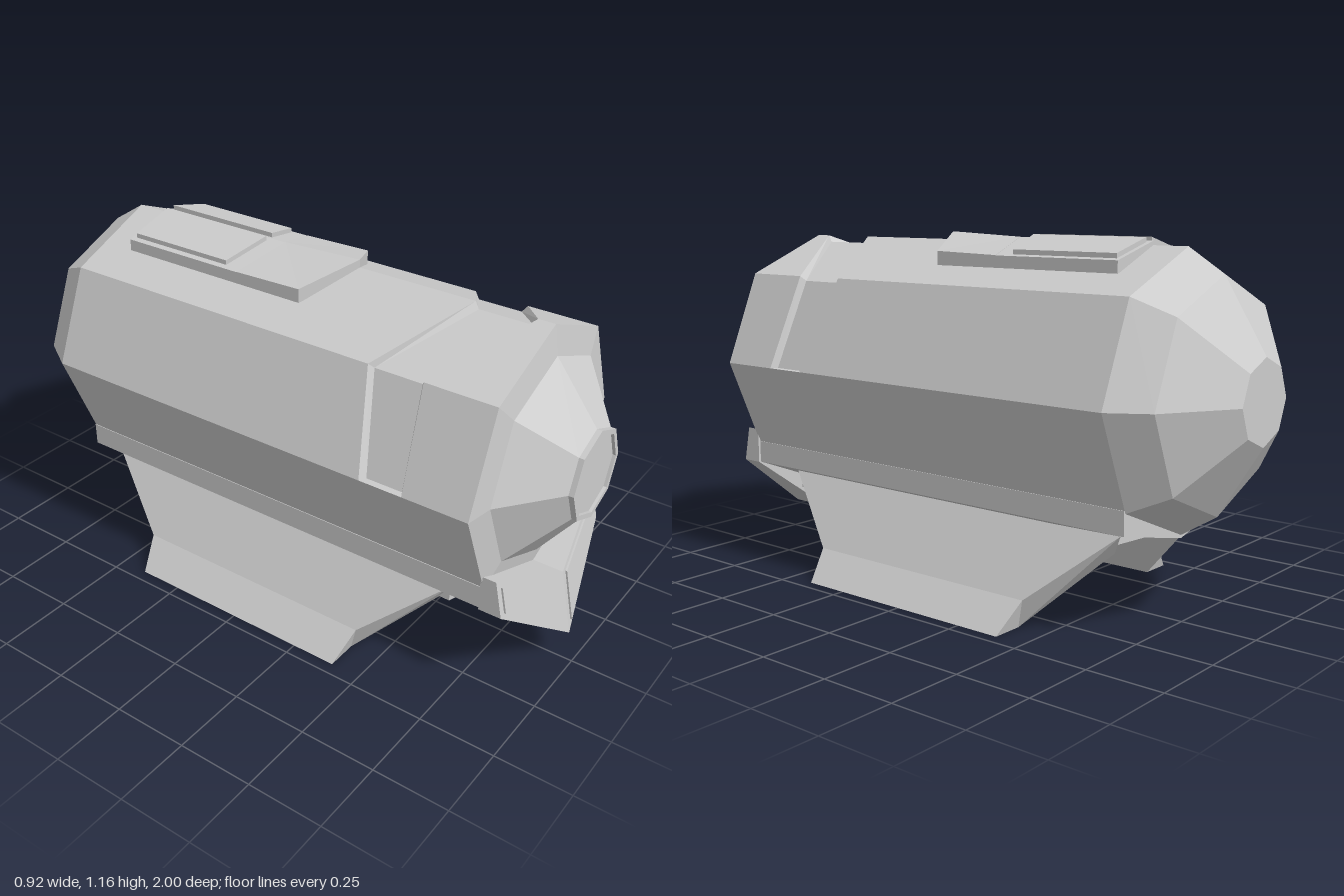
import * as THREE from 'three';

const material = new THREE.MeshStandardMaterial({ color: 0xcccccc, flatShading: true });

// Skin a list of equal-length cross-sections, fan-cap both ends, face outwards
function loft(name, sections) {
  const tris = [];
  const n = sections[0].length;
  for (let s = 0; s < sections.length - 1; s++) {
    const a = sections[s], b = sections[s + 1];
    for (let i = 0; i < n; i++) {
      const j = (i + 1) % n;
      tris.push([a[i], a[j], b[j]], [a[i], b[j], b[i]]);
    }
  }
  const first = sections[0], last = sections[sections.length - 1];
  for (let i = 1; i < n - 1; i++) {
    tris.push([first[0], first[i + 1], first[i]], [last[0], last[i], last[i + 1]]);
  }
  // A negative volume means the corners run the wrong way round
  let volume = 0;
  const o = new THREE.Vector3(...first[0]);
  const v = (p) => new THREE.Vector3(...p).sub(o);
  for (const [a, b, c] of tris) volume += v(a).dot(v(b).cross(v(c)));
  if (volume < 0) tris.forEach((t) => t.reverse());

  const geometry = new THREE.BufferGeometry();
  geometry.setAttribute('position', new THREE.Float32BufferAttribute(tris.flat(2), 3));
  geometry.computeVertexNormals();
  const mesh = new THREE.Mesh(geometry, material);
  mesh.name = name;
  return mesh;
}

// Left and right copies of a lofted part
function pair(name, sections) {
  const mirrored = sections.map((s) => s.map(([x, y, z]) => [-x, y, z]));
  return [loft(name + 'Left', sections), loft(name + 'Right', mirrored)];
}

// Octagonal hull; its upper half carries a recessed chevron band
function hull() {
  const R = 0.43, cy = 0.7;
  const bandBack = [0.465, 0.405, 0.57, 0.405, 0.465];
  const bandFront = [0.61, 0.59, 0.77, 0.59, 0.61];
  const columns = [];
  for (let half = 0; half < 2; half++) {
    for (let k = 0; k <= 4; k++) {
      const r = half ? R : R - 0.023;
      const a = bandBack[k], b = bandFront[k];
      const angle = (half * 4 + k) * Math.PI / 4;
      const profile = [
        [0, -1], [0.13, -1], [0.355, -0.86], [R, -0.74],
        [R, a], [r, a + 0.012], [r, b - 0.012], [R, b],
        [R, 0.825], [0.335, 0.84], [0.147, 0.983], [0.147, 1],
        [0.13, 1], [0.13, 0.99], [0, 0.99],
      ];
      columns.push(profile.map(([q, z]) => [q * Math.cos(angle), cy + q * Math.sin(angle), z]));
    }
  }
  return loft('hull', columns[0].map((_, i) => columns.map((c) => c[i])));
}

export function createModel() {
  const model = new THREE.Group();
  model.name = 'pod';
  model.add(hull());

  // Belly: side rails closing to a shallow V, rising slightly to the rear
  const belly = (z, keel) => [
    [-0.31, 0.405, z], [-0.31, 0.33, z], [0, keel, z], [0.31, 0.33, z], [0.31, 0.405, z],
  ];
  model.add(loft('belly', [belly(0.825, 0.205), belly(-0.74, 0.26)]));

  // Keel plate between the legs
  const keel = (z, y, side) => [[-0.24, 0.31, z], [-0.24, side, z], [0, y, z], [0.24, side, z], [0.24, 0.31, z]];
  model.add(loft('keelPlate', [keel(0.68, 0.168, 0.245), keel(-0.65, 0.255, 0.27)]));

  // Landing legs: splayed plates with flared feet, tapering to the ground
  const leg = (s) => [
    [0.355, 0, 0.4 * s], [0.46, 0, 0.4 * s], [0.375, 0.095, 0.43 * s],
    [0.25, 0.31, 0.69 * s], [0.22, 0.245, 0.65 * s],
  ];
  model.add(...pair('landingLeg', [leg(1), leg(-1)]));

  // Chin: V-shaped block with a raised panel on each half of its sloping face
  const faceZ = (x, y) => 0.98 - 0.208 * (y - 0.105) - 0.121 * x;
  const onFace = (points, lift) => points.map(([x, y]) => [x, y, faceZ(x, y) + lift]);
  const chin = [[0, 0.105], [0.318, 0.33], [0.318, 0.45], [0, 0.322]];
  const panel = [[0.02, 0.142], [0.3, 0.34], [0.3, 0.424], [0.02, 0.314]];
  model.add(...pair('chin', [onFace(chin, 0), chin.map(([x, y]) => [x, y, 0.82])]));
  model.add(...pair('chinPanel', [onFace(panel, 0.006), onFace(panel, -0.01)]));

  // Roof hatch: ridged base plate with a pointed front
  const W = 0.185;
  const roofY = (x) => 1.143 - 0.05 * x / W;
  const slab = (points, lift, bottom) => [
    points.map(([x, z, extra = 0]) => [x, roofY(x) + lift + extra, z]),
    points.map(([x, z]) => [x, bottom - 0.05 * x / W, z]),
  ];
  const base = [[0, -0.62], [W, -0.62], [W, 0.07], [0, 0.165]];
  model.add(...pair('hatchBase', slab(base, 0, 1.105)));

  // Sloping front cover, thickest at its leading edge
  const cover = [[0, -0.12], [W, -0.17], [W, 0.07, 0.006], [0, 0.165, 0.012]];
  model.add(...pair('hatchCover', slab(cover, 0.001, 1.13)));

  // Twin raised hatch doors
  const door = [[0.015, -0.605], [0.168, -0.605], [0.168, -0.225], [0.015, -0.185]];
  model.add(...pair('hatchDoor', slab(door, 0.015, 1.13)));

  return model;
}
